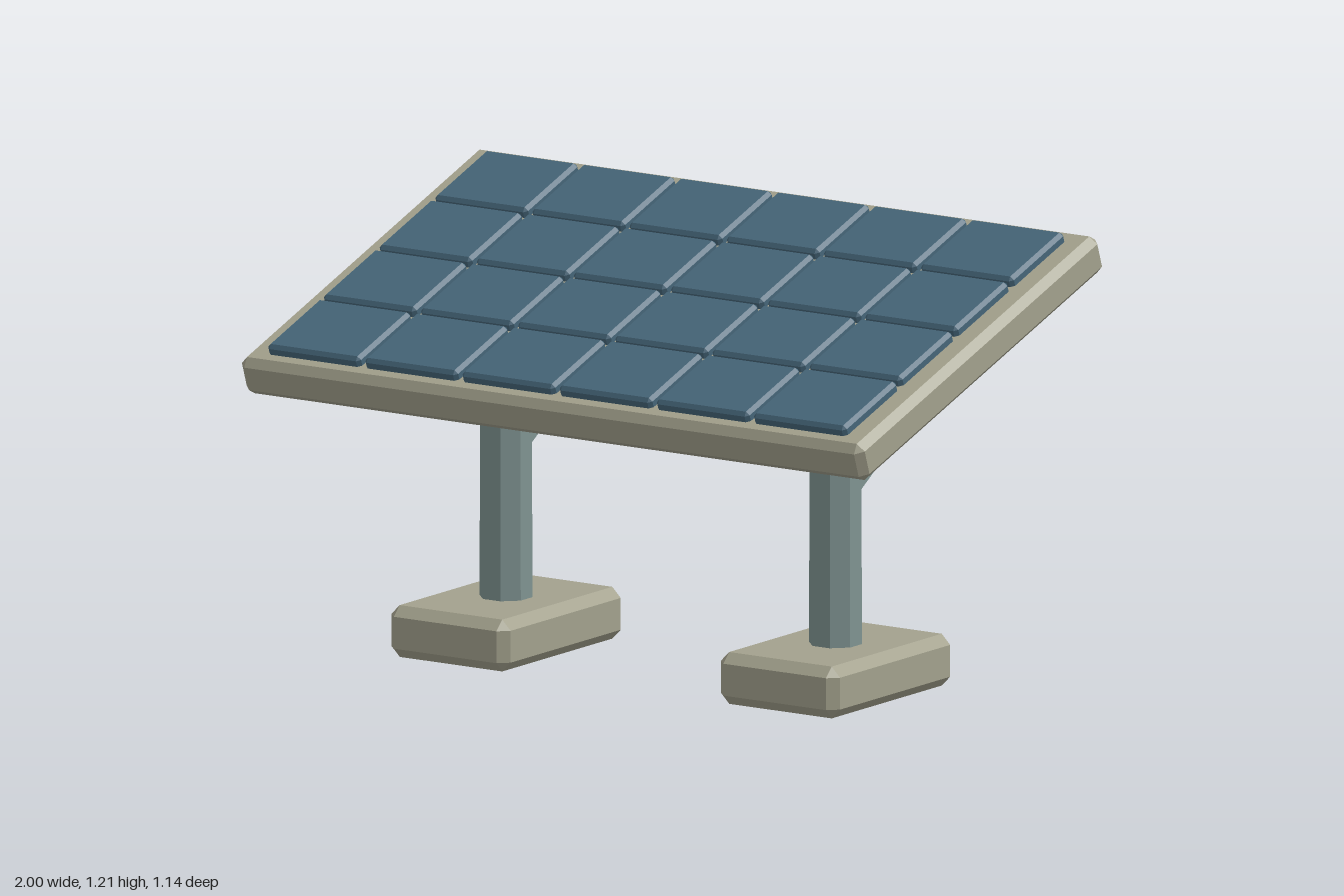
import * as THREE from 'three';
import { ConvexGeometry } from 'three/addons/geometries/ConvexGeometry.js';

const material = (name, color) => {
  const m = new THREE.MeshStandardMaterial({ color });
  m.name = name;
  return m;
};

// Box with flat chamfers on every edge: each corner becomes three points
function chamferBox(w, h, d, c) {
  const points = [];
  for (const x of [-1, 1]) for (const y of [-1, 1]) for (const z of [-1, 1]) {
    for (let full = 0; full < 3; full++) {
      const inset = (half, axis) => (axis === full ? half : half - c);
      points.push(new THREE.Vector3(x * inset(w / 2, 0), y * inset(h / 2, 1), z * inset(d / 2, 2)));
    }
  }
  return new ConvexGeometry(points);
}

// Eight-sided bar between two points, with a flat side facing forwards
function bar(from, to, r0, r1) {
  const dir = to.clone().sub(from);
  const g = new THREE.CylinderGeometry(r1, r0, dir.length(), 8).toNonIndexed();
  g.rotateY(Math.PI / 8);
  g.computeVertexNormals();
  g.applyQuaternion(new THREE.Quaternion().setFromUnitVectors(new THREE.Vector3(0, 1, 0), dir.normalize()));
  const mid = from.clone().add(to).multiplyScalar(0.5);
  return g.translate(mid.x, mid.y, mid.z);
}

export function createModel() {
  const model = new THREE.Group();
  model.name = 'solarPanel';
  const stone = material('warm grey frame', 0xa3a18d);
  const steel = material('grey green steel', 0x7f9391);
  const blue = material('blue cell', 0x456578);

  const add = (parent, name, geometry, mat, x = 0, y = 0, z = 0) => {
    const mesh = new THREE.Mesh(geometry, mat);
    mesh.name = name;
    mesh.position.set(x, y, z);
    parent.add(mesh);
  };

  // Tilted panel: frame slab and a 6 x 4 grid of cells
  const panel = new THREE.Group();
  panel.name = 'panel';
  panel.position.y = 0.963;
  panel.rotation.x = THREE.MathUtils.degToRad(19);
  model.add(panel);
  add(panel, 'frame', chamferBox(2, 0.11, 1.186, 0.021), stone);

  const cell = chamferBox(0.298, 0.045, 0.262, 0.01);
  for (let row = 0; row < 4; row++) {
    for (let col = 0; col < 6; col++) {
      add(panel, 'cell', cell, blue, (col - 2.5) * 0.312 - 0.002, 0.0595, (row - 1.5) * 0.274 + 0.003);
    }
  }

  // Two supports: footing, post and rear strut
  const footing = chamferBox(0.383, 0.14, 0.566, 0.027);
  const post = bar(new THREE.Vector3(0, 0.1, 0), new THREE.Vector3(0, 0.82, 0), 0.072, 0.069);
  const strut = bar(new THREE.Vector3(0, 0.55, -0.04), new THREE.Vector3(0, 0.77, -0.385), 0.041, 0.041);
  for (const [name, x] of [['rightSupport', -0.533], ['leftSupport', 0.525]]) {
    const support = new THREE.Group();
    support.name = name;
    support.position.x = x;
    model.add(support);
    add(support, 'footing', footing, stone, 0, 0.07, 0);
    add(support, 'post', post, steel);
    add(support, 'strut', strut, steel);
  }
  return model;
}
